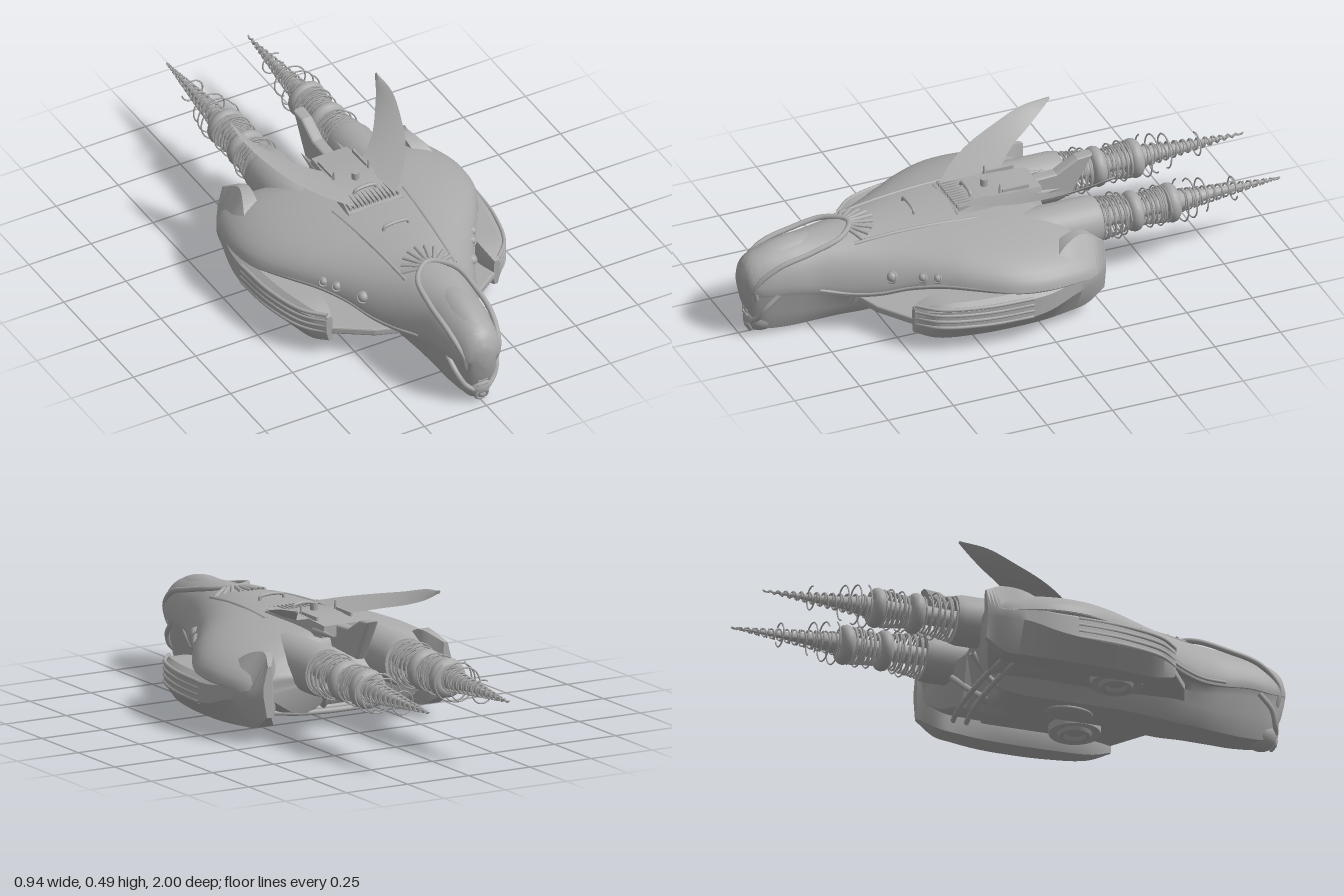
import * as THREE from 'three';
import { toCreasedNormals } from 'three/addons/utils/BufferGeometryUtils.js';

const V = (x, y, z) => new THREE.Vector3(x, y, z);
const hullGrey = new THREE.MeshStandardMaterial({ color: 0xaaaaaa, side: THREE.DoubleSide });
hullGrey.name = 'hullGrey';

// Smooth skin through closed rings of points, with capped ends
function loft(rings, steps, crease = 0.6) {
  const n = rings[0].length, pos = [], idx = [];
  const columns = rings[0].map((_, j) => new THREE.CatmullRomCurve3(rings.map((r) => r[j])));
  for (let i = 0; i <= steps; i++) {
    for (const c of columns) pos.push(...c.getPoint(i / steps).toArray());
  }
  for (let i = 0; i < steps; i++) {
    for (let j = 0; j < n; j++) {
      const a = i * n + j, b = i * n + (j + 1) % n;
      idx.push(a, b, a + n, b, b + n, a + n);
    }
  }
  [rings[0], rings[rings.length - 1]].forEach((ring, e) => {
    const mid = ring.reduce((s, p) => s.add(p), V(0, 0, 0)).divideScalar(n);
    const c = pos.length / 3, base = e * steps * n;
    pos.push(mid.x, mid.y, mid.z);
    for (let j = 0; j < n; j++) {
      const a = base + j, b = base + (j + 1) % n;
      idx.push(c, ...(e ? [a, b] : [b, a]));
    }
  });
  const g = new THREE.BufferGeometry();
  g.setAttribute('position', new THREE.Float32BufferAttribute(pos, 3));
  g.setIndex(idx);
  return toCreasedNormals(g, crease);
}

const tube = (pts, r, seg = 24, closed = false, sides = 8) =>
  new THREE.TubeGeometry(new THREE.CatmullRomCurve3(pts.map((p) => V(...p)), closed), seg, r, sides, closed);

const box = (w, h, d, x, y, z) => new THREE.BoxGeometry(w, h, d).translate(x, y, z);

// Turned part whose axis runs toward the back; points are [radius, z]
const turned = (pts, sides = 24) => toCreasedNormals(
  new THREE.LatheGeometry(pts.map(([r, z]) => new THREE.Vector2(r, -z)), sides).rotateX(-Math.PI / 2), 0.6);

// Reflected copy across x = 0 with corrected corner order
function mirrored(geo) {
  const g = geo.index ? geo.toNonIndexed() : geo.clone();
  g.scale(-1, 1, 1);
  for (const at of Object.values(g.attributes)) {
    const s = at.itemSize, a = at.array;
    for (let t = 0; t < at.count; t += 3) {
      for (let k = 0; k < s; k++) {
        const p = (t + 1) * s + k, q = (t + 2) * s + k;
        [a[p], a[q]] = [a[q], a[p]];
      }
    }
  }
  return g;
}

// Hull stations: z, half width, top, edge height, keel half width, keel bottom
const STATIONS = [
  [0.998, 0.03, 0.258, 0.22, 0.02, 0.17], [0.975, 0.068, 0.297, 0.21, 0.05, 0.1],
  [0.93, 0.09, 0.325, 0.2, 0.068, 0.025], [0.84, 0.11, 0.346, 0.2, 0.083, 0.012],
  [0.74, 0.128, 0.355, 0.185, 0.093, 0.015], [0.64, 0.168, 0.36, 0.17, 0.105, 0.02],
  [0.55, 0.212, 0.362, 0.175, 0.12, 0.022], [0.45, 0.26, 0.365, 0.2, 0.125, 0.03],
  [0.35, 0.32, 0.365, 0.215, 0.125, 0.035], [0.25, 0.385, 0.365, 0.215, 0.125, 0.035],
  [0.12, 0.45, 0.36, 0.205, 0.125, 0.035], [0, 0.465, 0.352, 0.2, 0.125, 0.035],
  [-0.1, 0.45, 0.34, 0.195, 0.12, 0.05], [-0.18, 0.425, 0.315, 0.19, 0.11, 0.08],
  [-0.23, 0.385, 0.28, 0.19, 0.09, 0.11],
];

function hullRing([z, w, top, ye, bx, yb]) {
  const half = [];
  for (let i = 0; i <= 12; i++) {
    const a = (i / 12) * Math.PI / 2;
    half.push([w * Math.sin(a), ye + (top - ye) * Math.cos(a)]);
  }
  // the ceiling under the shell slopes down toward the back
  const drop = 0.085 * THREE.MathUtils.smoothstep(-z, -0.32, 0);
  half.push([w * 0.97, ye - 0.014], [(w + bx) / 2, ye - 0.012 - drop], [bx + (w - bx) * 0.15, ye - 0.035 - drop],
    [bx, yb + (ye - yb) * 0.45], [bx * 0.6, yb + 0.008], [0, yb]);
  const left = half.slice(1, -1).reverse().map(([x, y]) => [-x, y]);
  // the middle of the tail is notched forward for the engines
  return [...half, ...left].map(([x, y]) => {
    const notch = z < -0.05 ? (-0.05 - z) * 0.75 * (1 - Math.min(1, Math.abs(x) / 0.34)) : 0;
    return V(x, y, z + notch);
  });
}

// Height of the upper hull at a given place
function hullY(x, z) {
  const i = Math.max(0, STATIONS.findIndex((s) => s[0] <= z) - 1);
  const a = STATIONS[i], b = STATIONS[i + 1], t = (a[0] - z) / (a[0] - b[0]);
  const [, w, top, ye] = a.map((v, k) => v + (b[k] - v) * t);
  return ye + (top - ye) * Math.sqrt(Math.max(0, 1 - (x / w) ** 2));
}

function helix(z0, z1, r0, r1, turns, thick, phase = 0) {
  const pts = [], n = Math.abs(turns) * 12;
  for (let i = 0; i <= n; i++) {
    const t = i / n, a = phase + t * turns * Math.PI * 2, r = r0 + (r1 - r0) * t;
    pts.push([r * Math.cos(a), r * Math.sin(a), z0 + (z1 - z0) * t]);
  }
  return tube(pts, thick, n, false, 4);
}

export function createModel() {
  const model = new THREE.Group();
  model.name = 'spacecraft';
  const add = (name, geo) => {
    const m = new THREE.Mesh(geo, hullGrey);
    m.name = name;
    model.add(m);
  };
  const pair = (name, geo) => {
    add(name + 'Left', geo);
    add(name + 'Right', mirrored(geo));
  };

  add('hull', loft(STATIONS.map(hullRing), 84));
  pair('hullLip', tube(STATIONS.slice(4, 14).map(([z, w, , y]) => [w * 0.985, y, z]), 0.006, 60));

  // Canopy and its frame
  add('canopy', new THREE.SphereGeometry(1, 32, 20).scale(0.083, 0.112, 0.222).translate(0, 0.245, 0.776));
  const rail = [[0.05, 0.15, 0.955], [0.07, 0.22, 0.962], [0.09, 0.29, 0.885], [0.094, 0.325, 0.76], [0.075, 0.352, 0.64]];
  add('canopyFrame', tube([[0, 0.137, 0.975], ...rail, [0, 0.362, 0.58],
    ...rail.map(([x, y, z]) => [-x, y, z]).reverse()], 0.01, 80, true));

  // Snout, mouth ring and cheeks
  add('snout', new THREE.SphereGeometry(1, 20, 14).scale(0.056, 0.058, 0.062).translate(0, 0.062, 0.917));
  add('mouthRing', new THREE.TorusGeometry(0.022, 0.007, 8, 20).rotateX(0.25).translate(0, 0.036, 0.965));
  add('mouth', new THREE.SphereGeometry(0.018, 12, 8).translate(0, 0.036, 0.96));
  pair('cheek', tube([[0.09, 0.18, 0.88], [0.08, 0.13, 0.93], [0.058, 0.085, 0.95], [0.03, 0.06, 0.962]], 0.01));
  for (const y of [0.08, 0.1]) add('snoutBar', box(0.04, 0.006, 0.02, 0, y, 0.967));

  // Fan of ridges behind the canopy
  for (let i = -4; i <= 4; i++) {
    const a = i * 0.27, pts = [0.04, 0.09, 0.13 - Math.abs(i) * 0.004].map((r) => {
      const x = Math.sin(a) * r, z = 0.62 - Math.cos(a) * r;
      return [x, hullY(x, z) + 0.001, z];
    });
    add('neckRidge', tube(pts, 0.008, 10));
  }
  pair('backRidge', tube([0.6, 0.45, 0.3, 0.15].map((z, i) => [0.1 + i * 0.014, hullY(0.1 + i * 0.014, z) - 0.002, z]), 0.007));
  add('handle', tube([[-0.05, 0.362, 0.35], [-0.045, 0.377, 0.35], [0.045, 0.377, 0.35], [0.05, 0.362, 0.35]], 0.006));

  // Lamps low on the shoulders
  [[0.222, 0.505, 0.02], [0.275, 0.41, 0.016], [0.303, 0.365, 0.015]].forEach(([x, z, r]) => {
    const y = hullY(x, z) - 0.004;
    pair('lamp', new THREE.SphereGeometry(r, 16, 10).translate(x - 0.004, y, z));
    pair('lampRim', new THREE.TorusGeometry(r, 0.004, 6, 18).rotateX(-0.4).rotateY(0.6).translate(x, y, z + 0.004));
  });

  // Deck on the back with a ribbed intake
  add('deck', loft([[0.21, 0.11, 0.362], [0.13, 0.1, 0.38], [0, 0.085, 0.385], [-0.13, 0.07, 0.372]].map(([z, w, y]) =>
    [V(-w, y, z), V(w, y, z), V(w * 1.15, 0.33, z), V(-w * 1.15, 0.33, z)]), 12, 0.5));
  for (let i = -6; i <= 6; i++) add('intakeRib', box(0.007, 0.014, 0.07, i * 0.016, 0.374, 0.165));
  add('intakeHood', tube([[-0.045, 0.37, 0.13], [-0.038, 0.39, 0.13], [0.038, 0.39, 0.13], [0.045, 0.37, 0.13]], 0.007));
  add('deckKnob', new THREE.CylinderGeometry(0.014, 0.014, 0.035, 12).translate(0, 0.394, 0.06));
  pair('deckRail', box(0.008, 0.014, 0.1, 0.07, 0.388, -0.03));
  pair('antenna', new THREE.CylinderGeometry(0.003, 0.008, 0.055, 8).translate(0.07, 0.391, 0.03));

  // Swept wings: leading x, y, z then trailing x, y, z
  pair('wing', loft([
    [0.08, 0.378, 0.2, 0.06, 0.378, -0.02], [0.15, 0.398, 0.13, 0.11, 0.388, -0.06],
    [0.22, 0.421, 0.03, 0.17, 0.406, -0.12], [0.272, 0.45, -0.1, 0.225, 0.428, -0.2],
    [0.299, 0.478, -0.21, 0.265, 0.455, -0.265], [0.297, 0.491, -0.31, 0.289, 0.487, -0.315],
  ].map(([a, b, c, d, e, f]) => {
    const x = (a + d) / 2, y = (b + e) / 2, z = (c + f) / 2;
    return [V(a, b, c), V(x, y + 0.006, z), V(d, e, f), V(x, y - 0.005, z)];
  }), 24, 0.9));

  // Tail fin
  const fin = new THREE.Shape([[0.02, 0.3], [-0.26, 0.28], [-0.34, 0.42], [-0.29, 0.415], [-0.21, 0.37], [0.02, 0.36]]
    .map(([z, y]) => new THREE.Vector2(-z, y)));
  add('tailFin', new THREE.ExtrudeGeometry(fin, { depth: 0.02, bevelSize: 0.006, bevelThickness: 0.012, bevelSegments: 2 })
    .translate(0, 0, -0.01).rotateY(Math.PI / 2));
  pair('tailSpike', new THREE.ConeGeometry(0.018, 0.14, 10).rotateX(-Math.PI / 2).translate(0.07, 0.345, -0.14));

  // Side pods: z, inner x, outer x, bottom, top, shoulder slope
  const POD = [[0.475, 0.325, 0.35, 0.07, 0.17, 0.2], [0.4, 0.305, 0.41, 0.045, 0.192, 0.2],
    [0.25, 0.3, 0.455, 0.038, 0.197, 0.2], [0.1, 0.3, 0.468, 0.038, 0.205, 0.2], [0, 0.3, 0.465, 0.04, 0.235, 0.35],
    [-0.1, 0.295, 0.448, 0.045, 0.305, 0.55], [-0.17, 0.295, 0.43, 0.052, 0.32, 0.65], [-0.24, 0.35, 0.385, 0.1, 0.285, 0.5]];
  pair('sidePod', loft(POD.map(([z, a, b, lo, hi, s]) => {
    const w = b - a, h = hi - lo;
    return [V(a + w * 0.1, hi, z), V(b - w * s, hi, z), V(b, hi - h * s * 0.75, z), V(b, lo + h * 0.4, z),
      V(b - w * 0.4, lo, z), V(a + w * 0.1, lo, z), V(a, lo + h * 0.25, z), V(a, hi - h * 0.2, z)];
  }), 42, 0.5));
  for (const y of [0.108, 0.132, 0.156, 0.18]) {
    pair('podSlat', tube([[0.345, y, 0.472], [0.408, y, 0.4], [0.452, y, 0.25], [0.465, y, 0.07]], 0.007));
  }

  // Thin lower wing joining pods to keel
  const slab = new THREE.Shape([[0.08, 0.6], [0.2, 0.555], [0.34, 0.46], [0.36, 0.3], [0.36, 0.02], [0.22, -0.06], [0.08, -0.08]]
    .map(([x, z]) => new THREE.Vector2(x, -z)));
  pair('lowerWing', new THREE.ExtrudeGeometry(slab, { depth: 0.016, bevelSize: 0.006, bevelThickness: 0.006, bevelSegments: 2 })
    .rotateX(-Math.PI / 2).translate(0, 0.1, 0));

  // Broad round belly pads with a dished centre, and rear struts
  pair('bellyPad', toCreasedNormals(new THREE.LatheGeometry(
    [[0, 0.072], [0.03, 0.068], [0.04, 0.056], [0.055, 0.056], [0.062, 0.068], [0.08, 0.06], [0.092, 0.066], [0.094, 0.11]]
      .map(([r, y]) => new THREE.Vector2(r, y)), 32), 0.5).translate(0.215, 0, 0.3));
  add('bellyBump', new THREE.SphereGeometry(1, 20, 12).scale(0.055, 0.014, 0.09).translate(0, 0.037, 0.2));
  for (const z of [-0.07, -0.12]) {
    add('rearStrut', tube([[-0.32, 0.09, z], [-0.15, 0.075, z - 0.03], [0.15, 0.075, z - 0.03], [0.32, 0.09, z]], 0.01));
  }
  pair('rearBrace', tube([[0.03, 0.06, 0.05], [0.06, 0.08, -0.1], [0.11, 0.16, -0.2]], 0.012));

  // Engines and spiral spikes
  const at = (g) => g.translate(0.163, 0.25, 0);
  pair('engine', at(turned([[0, 0.08], [0.08, 0.08], [0.09, 0], [0.09, -0.27], [0.084, -0.295], [0.065, -0.295], [0.06, -0.25], [0, -0.25]], 32)));
  pair('spikeCore', at(turned([[0.03, -0.25], [0.034, -0.38], [0.03, -0.5], [0.036, -0.62], [0.022, -0.7], [0.012, -0.82], [0, -1]], 12)));
  for (const [z, r] of [[-0.435, 0.048], [-0.578, 0.046]]) {
    pair('spikeCollar', at(new THREE.TorusGeometry(r, 0.026, 12, 28).translate(0, 0, z)));
  }
  for (const s of [1, -1]) {
    pair('baseCoil', at(helix(-0.3, -0.41, 0.08, 0.062, 5 * s, 0.004)));
    pair('middleCoil', at(helix(-0.455, -0.56, 0.055, 0.066, 6 * s, 0.004)));
    pair('tipCoil', at(helix(-0.6, -1, 0.042, 0.002, 14 * s, 0.0035, 1)));
  }
  [[-0.315, 0.075], [-0.365, 0.083], [-0.39, 0.075], [-0.49, 0.07], [-0.53, 0.072], [-0.62, 0.076], [-0.655, 0.07], [-0.7, 0.062], [-0.82, 0.042]]
    .forEach(([z, r], i) => pair('spikeRing',
      at(new THREE.TorusGeometry(r, 0.003, 5, 28, i < 5 ? Math.PI * 2 : 5).rotateZ(i * 1.7).translate(0, 0, z))));

  return model;
}
